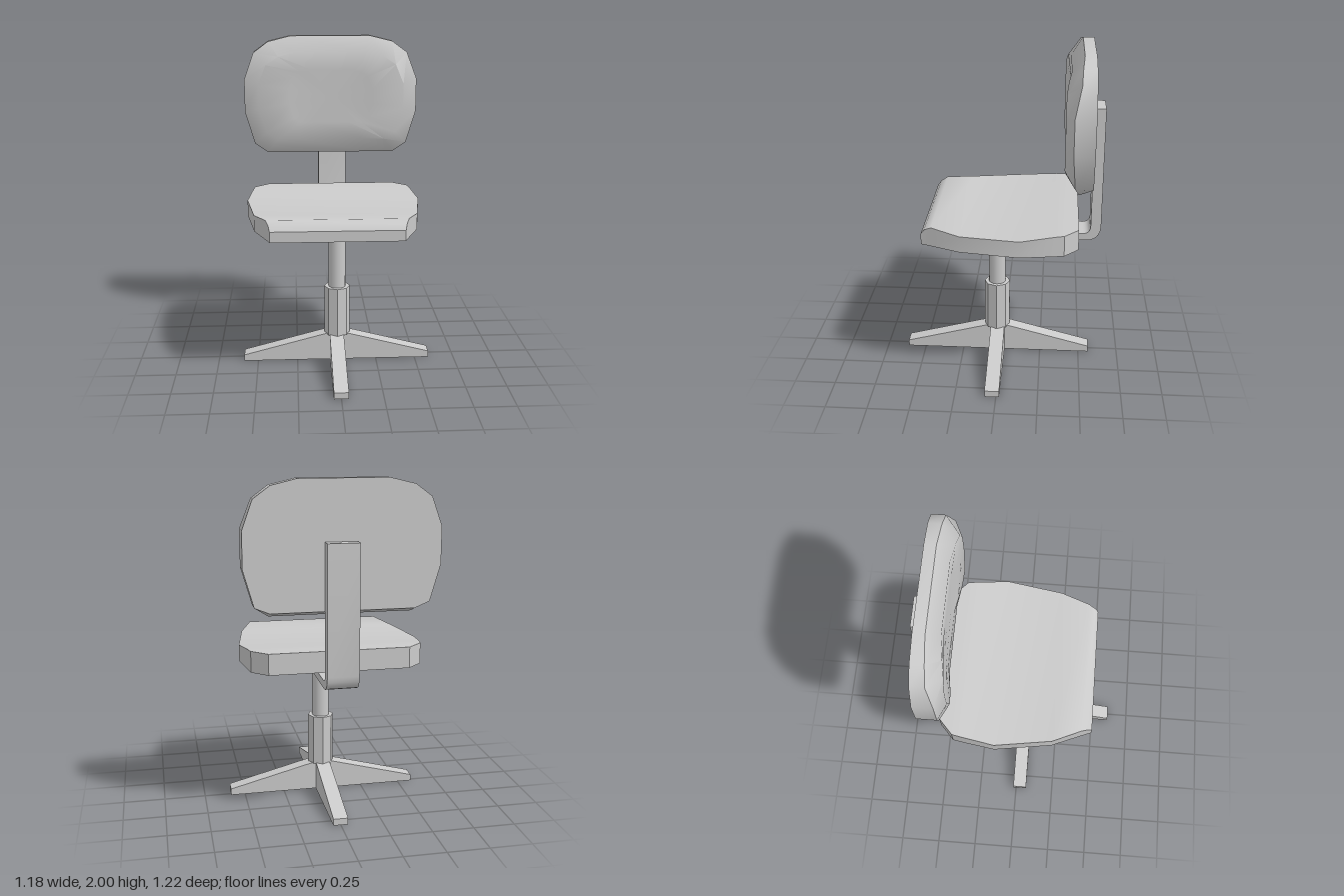
import * as THREE from 'three';
import { toCreasedNormals } from 'three/addons/utils/BufferGeometryUtils.js';

const material = new THREE.MeshStandardMaterial({ color: 0xcccccc });

function part(name, geometry, x = 0, y = 0, z = 0) {
  const mesh = new THREE.Mesh(geometry, material);
  mesh.name = name;
  mesh.position.set(x, y, z);
  return mesh;
}

// Closed skin over rings of [x, y, z], ordered front to back, anticlockwise from the front
function loft(rings, crease) {
  const n = rings[0].length, positions = [], index = [];
  rings.forEach(ring => ring.forEach(p => positions.push(...p)));
  for (let i = 0; i < rings.length - 1; i++) {
    for (let j = 0; j < n; j++) {
      const a = i * n + j, b = i * n + (j + 1) % n, c = b + n, d = a + n;
      index.push(a, d, c, a, c, b);
    }
  }
  [0, rings.length - 1].forEach((r, end) => {
    const centre = positions.length / 3;
    positions.push(...[0, 1, 2].map(k => rings[r].reduce((s, p) => s + p[k], 0) / n));
    for (let j = 0; j < n; j++) {
      const a = r * n + j, b = r * n + (j + 1) % n;
      index.push(centre, end ? b : a, end ? a : b);
    }
  });
  const geometry = new THREE.BufferGeometry();
  geometry.setAttribute('position', new THREE.Float32BufferAttribute(positions, 3));
  geometry.setIndex(index);
  return toCreasedNormals(geometry, crease);
}

function centredExtrude(shape, depth) {
  const geometry = new THREE.ExtrudeGeometry(shape, { depth, bevelEnabled: false, curveSegments: 5 });
  return geometry.translate(0, 0, -depth / 2);
}

// Cushion sections: [z, half width, top height]
function seatGeometry() {
  const sections = [
    [0.452, 0.39, 0.97], [0.43, 0.398, 1.0], [0.388, 0.415, 1.022], [0.215, 0.487, 1.003],
    [-0.13, 0.54, 1.005], [-0.33, 0.51, 1.027], [-0.385, 0.5, 1.03], [-0.468, 0.41, 1.03],
  ];
  return loft(sections.map(([z, w, top]) =>
    [[-w, 0.905, z], [w, 0.905, z], [w, top, z], [-w, top, z]]), 0.6);
}

// Padded backrest with a hollow front and a flat back
function backrestGeometry() {
  // right half of the rim, bottom to top: [x, y, z]
  const half = [
    [0.24, 1.245, -0.46], [0.41, 1.245, -0.46], [0.495, 1.31, -0.435], [0.555, 1.52, -0.42],
    [0.555, 1.73, -0.42], [0.495, 1.895, -0.455], [0.4, 1.965, -0.46], [0.255, 2, -0.47],
  ];
  const rim = [...half, ...half.slice().reverse().map(([x, y, z]) => [-x, y, z])];
  const midY = 1.62;
  const inset = (sx, sy, depth) =>
    rim.map(([x, y]) => [x * sx, midY + (y - midY) * sy, depth(Math.abs(x * sx))]);
  const hollow = x => -0.402 + 0.028 * THREE.MathUtils.smoothstep(x, 0.2, 0.44);
  return loft([
    inset(0.48, 0.45, hollow),
    inset(0.84, 0.74, hollow),
    rim,
    rim.map(([x, y]) => [x, Math.max(y, 1.275), -0.537]),
  ], 0.75);
}

// Bent flat bar: drawn with z across and y up, then turned to face sideways
function bracketGeometry() {
  const s = new THREE.Shape();
  s.moveTo(-0.035, 0.825);
  s.lineTo(-0.035, 0.87);
  s.lineTo(-0.5, 0.87);
  s.quadraticCurveTo(-0.545, 0.87, -0.547, 0.915);
  s.lineTo(-0.547, 1.66);
  s.lineTo(-0.61, 1.66);
  s.lineTo(-0.61, 0.915);
  s.quadraticCurveTo(-0.605, 0.825, -0.515, 0.825);
  s.closePath();
  return toCreasedNormals(centredExtrude(s, 0.184).rotateY(-Math.PI / 2), 0.5);
}

// One straight beam gives two opposite feet
function footGeometry() {
  const s = new THREE.Shape([
    [-0.588, 0], [0.588, 0], [0.588, 0.04], [0.06, 0.178], [-0.06, 0.178], [-0.588, 0.04],
  ].map(p => new THREE.Vector2(...p)));
  return centredExtrude(s, 0.088);
}

export function createModel() {
  const chair = new THREE.Group();
  chair.name = 'swivelChair';

  // Crossed feet
  const base = new THREE.Group();
  base.name = 'base';
  base.position.z = 0.025;
  for (const turn of [0, Math.PI / 2]) {
    const foot = part('footBeam', footGeometry());
    foot.rotation.y = turn;
    base.add(foot);
  }
  chair.add(base);

  // Column: faceted sleeve with a thinner smooth post
  const sleeve = toCreasedNormals(new THREE.CylinderGeometry(0.08, 0.08, 0.315, 8), 0.3);
  chair.add(part('columnSleeve', sleeve, 0.004, 0.328, 0.03));
  chair.add(part('columnPost', new THREE.CylinderGeometry(0.053, 0.053, 0.44, 16), 0.004, 0.7, 0.03));

  // Seat, bracket and backrest
  chair.add(part('seat', seatGeometry(), -0.012));
  chair.add(part('backBracket', bracketGeometry()));
  chair.add(part('backrest', backrestGeometry(), -0.014));
  return chair;
}
